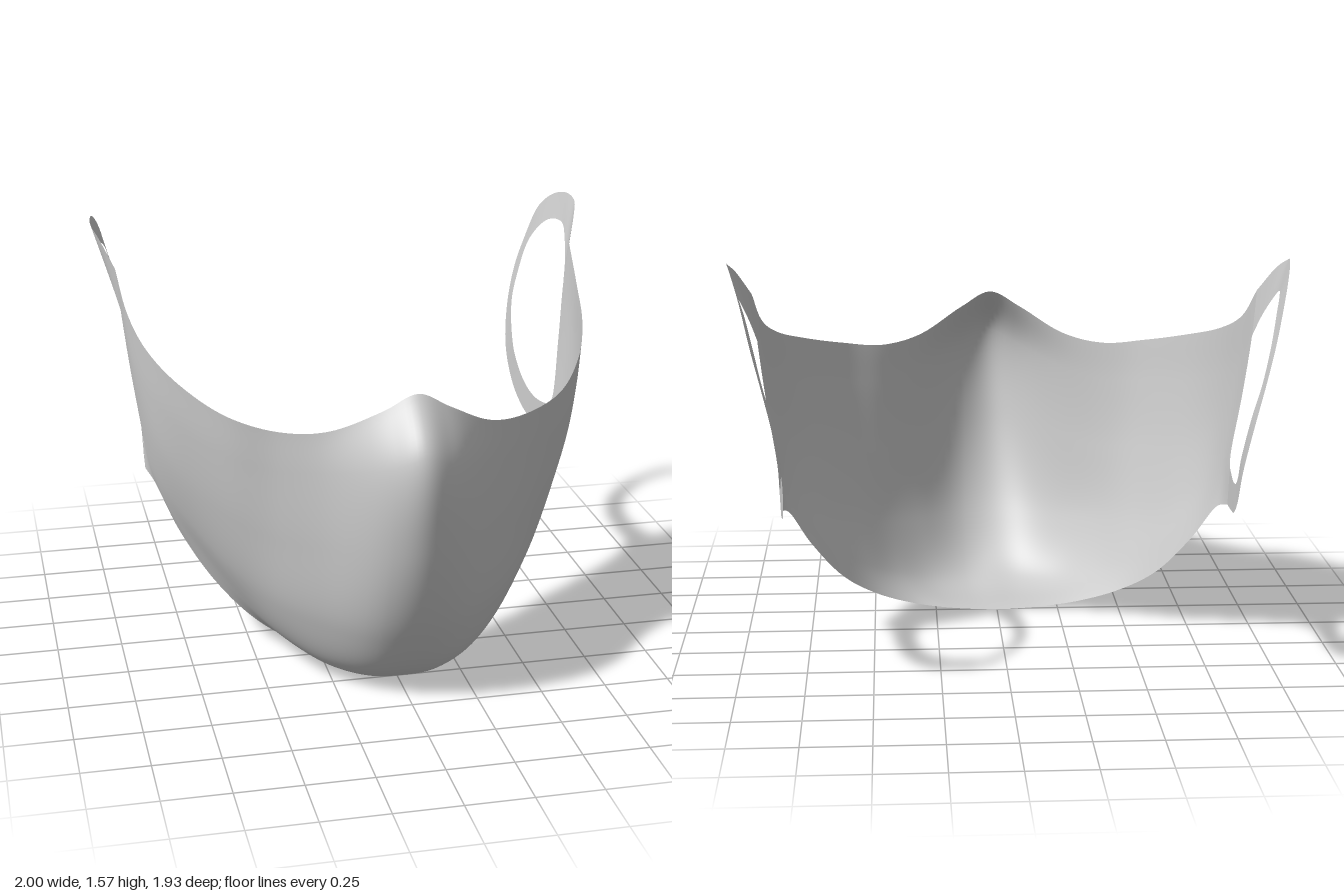
import * as THREE from 'three';

const material = new THREE.MeshStandardMaterial({ color: 0xcccccc, side: THREE.DoubleSide });

const curve = (pts) => new THREE.CatmullRomCurve3(pts.map((p) => (p.isVector3 ? p : new THREE.Vector3(...p))));
const mirrored = (v) => new THREE.Vector3(-v.x, v.y, v.z);

// Smooth sheet through rows of points
function sheet(rows, name) {
  const n = rows[0].length;
  const index = [];
  for (let i = 0; i < rows.length - 1; i++) {
    for (let j = 0; j < n - 1; j++) {
      const a = i * n + j, b = a + 1, c = a + n, d = c + 1;
      index.push(a, c, b, b, c, d);
    }
  }
  const geometry = new THREE.BufferGeometry().setFromPoints(rows.flat());
  geometry.setIndex(index);
  geometry.computeVertexNormals();
  const mesh = new THREE.Mesh(geometry, material);
  mesh.name = name;
  return mesh;
}

// Top-to-bottom sections of the left half, from the nose ridge to the cheek
const sections = [
  [[0, 1.24, 0.8], [0, 1.05, 0.953], [0, 0.69, 0.932], [0, 0.29, 0.788], [0, 0.05, 0.59], [0, 0.005, 0.24]],
  [[0.12, 1.18, 0.785], [0.12, 1, 0.895], [0.125, 0.67, 0.882], [0.13, 0.29, 0.757], [0.12, 0.05, 0.57], [0.1, 0.008, 0.242]],
  [[0.3, 1.08, 0.68], [0.3, 0.93, 0.7], [0.305, 0.63, 0.685], [0.3, 0.3, 0.62], [0.265, 0.075, 0.49], [0.2, 0.018, 0.235]],
  [[0.46, 1.055, 0.575], [0.46, 0.9, 0.57], [0.455, 0.62, 0.545], [0.44, 0.33, 0.482], [0.4, 0.135, 0.365], [0.33, 0.045, 0.21]],
  [[0.62, 1.085, 0.468], [0.615, 0.92, 0.448], [0.597, 0.66, 0.402], [0.565, 0.39, 0.312], [0.525, 0.22, 0.195], [0.48, 0.115, 0.12]],
  [[0.765, 1.145, 0.25], [0.75, 0.96, 0.237], [0.723, 0.71, 0.188], [0.69, 0.49, 0.1], [0.657, 0.35, 0.015], [0.62, 0.235, -0.02]],
  [[0.86, 1.215, 0], [0.85, 1.03, -0.003], [0.83, 0.82, -0.02], [0.806, 0.64, -0.08], [0.775, 0.51, -0.125], [0.74, 0.41, -0.15]],
  [[0.905, 1.3, -0.22], [0.892, 1.1, -0.2], [0.872, 0.92, -0.2], [0.848, 0.75, -0.21], [0.835, 0.66, -0.25], [0.815, 0.57, -0.28]],
];
// Rear edge of the cheek, where the ear loop starts and ends
const seam = [[0.926, 1.425, -0.4], [0.91, 1.255, -0.41], [0.885, 1.02, -0.375], [0.855, 0.79, -0.335], [0.848, 0.745, -0.365], [0.842, 0.6, -0.367]];

// Outer and inner outlines of the ear loop, over the top and round to the bottom
const loopOuter = [
  seam[0], [0.975, 1.522, -0.5], [0.999, 1.56, -0.575], [0.993, 1.573, -0.66], [0.97, 1.543, -0.775], [0.938, 1.465, -0.88],
  [0.898, 1.31, -0.945], [0.864, 1.18, -0.967], [0.83, 1.02, -0.945], [0.808, 0.855, -0.88], [0.81, 0.72, -0.775],
  [0.82, 0.645, -0.645], [0.83, 0.62, -0.54], seam[5],
];
const loopInner = [
  seam[1], [0.932, 1.335, -0.465], [0.952, 1.405, -0.54], [0.965, 1.455, -0.62], [0.948, 1.45, -0.72], [0.925, 1.405, -0.8],
  [0.895, 1.31, -0.88], [0.864, 1.18, -0.905], [0.832, 1.05, -0.885], [0.815, 0.88, -0.79], [0.82, 0.8, -0.715],
  [0.828, 0.748, -0.625], [0.837, 0.728, -0.51], seam[4],
];

function maskShell() {
  const across = 112, down = 60;
  const half = [...sections, seam].map(curve);
  const rows = [];
  for (let j = 0; j <= down; j++) {
    const left = half.map((c) => c.getPoint(j / down));
    const right = left.slice(1).reverse().map(mirrored);
    rows.push(curve([...right, ...left]).getPoints(across));
  }
  return sheet(rows, 'maskShell');
}

function earLoop(side) {
  const outer = curve(loopOuter).getPoints(104);
  const inner = curve(loopInner).getPoints(104);
  const rows = [0, 0.25, 0.5, 0.75, 1].map((t) =>
    outer.map((p, i) => {
      const v = p.clone().lerp(inner[i], t);
      return side < 0 ? mirrored(v) : v;
    }));
  // Reversing the rows keeps the outward face the same on both sides
  return sheet(side < 0 ? rows.reverse() : rows, side < 0 ? 'rightEarLoop' : 'leftEarLoop');
}

export function createModel() {
  const group = new THREE.Group();
  group.name = 'faceMask';
  group.add(maskShell(), earLoop(1), earLoop(-1));
  return group;
}
